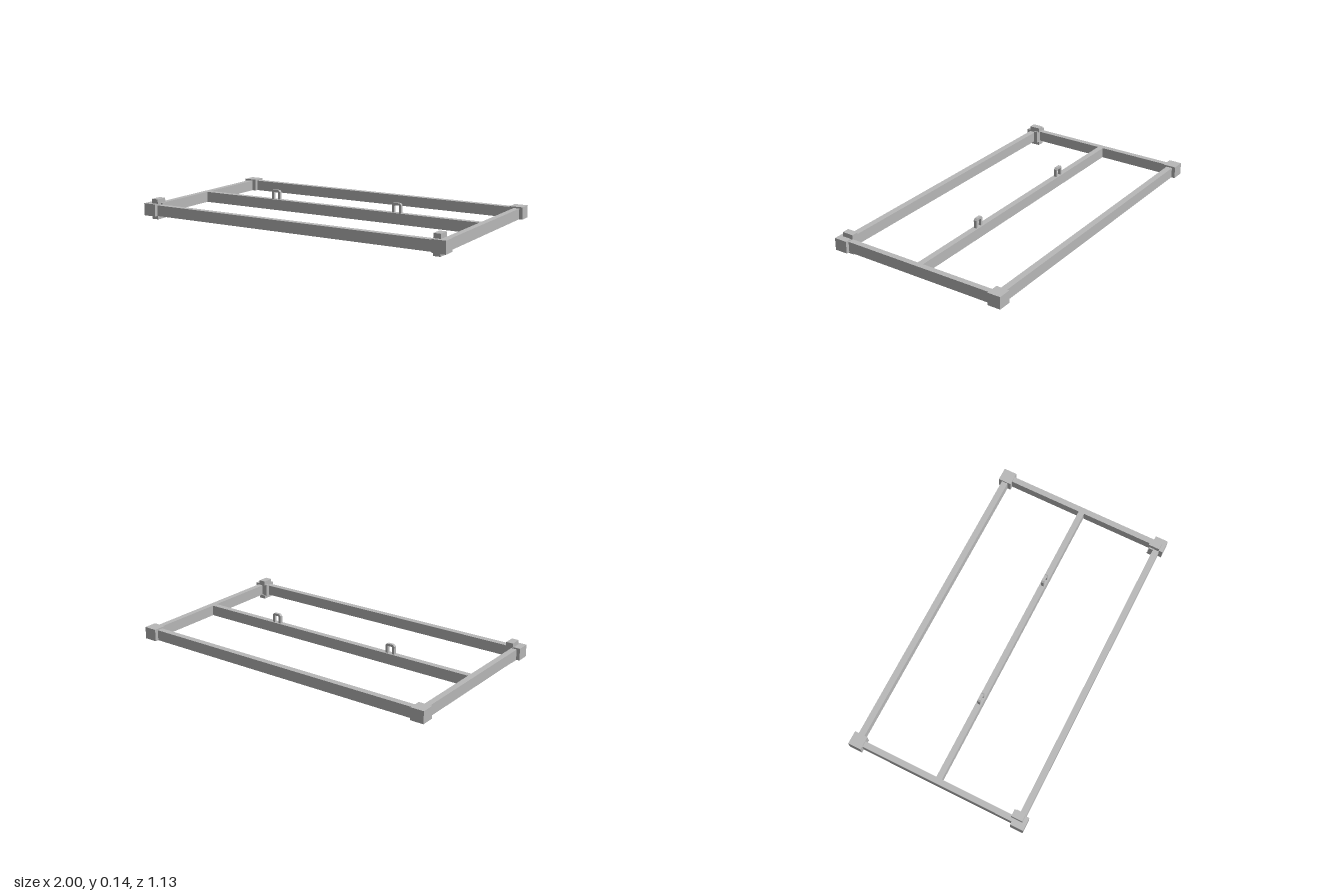
import * as THREE from 'three';

export function createModel() {
  const model = new THREE.Group();
  const steel = new THREE.MeshStandardMaterial({ color: 0xb8b8b8 });
  steel.name = 'grey steel';

  // Box given by its min and max corners
  function box(name, [x0, y0, z0], [x1, y1, z1], parent = model) {
    const geometry = new THREE.BoxGeometry(x1 - x0, y1 - y0, z1 - z0);
    const mesh = new THREE.Mesh(geometry, steel);
    mesh.position.set((x0 + x1) / 2, (y0 + y1) / 2, (z0 + z1) / 2);
    mesh.name = name;
    parent.add(mesh);
  }

  // Long rails and centre beam
  const low = 0.021, high = 0.086;
  box('frontRail', [-0.95, low, 0.503], [0.95, high, 0.541]);
  box('backRail', [-0.95, low, -0.541], [0.95, high, -0.503]);
  box('centreBeam', [-0.945, low, -0.018], [0.945, high, 0.018]);

  // Lifting loop: chamfered arch with an open middle
  const arch = new THREE.Shape();
  [[-0.03, 0], [-0.03, 0.047], [-0.02, 0.058], [0.02, 0.058], [0.03, 0.047], [0.03, 0],
    [0.015, 0], [0.015, 0.044], [-0.015, 0.044], [-0.015, 0]]
    .forEach(([x, y], i) => (i ? arch.lineTo(x, y) : arch.moveTo(x, y)));
  arch.closePath();
  const loopGeometry = new THREE.ExtrudeGeometry(arch, { depth: 0.018, bevelEnabled: false });
  loopGeometry.translate(0, high, -0.009);

  for (const side of [-1, 1]) {
    const label = side > 0 ? 'left' : 'right';
    const span = (a, b) => [Math.min(side * a, side * b), Math.max(side * a, side * b)];

    // Side rail
    const [r0, r1] = span(0.943, 0.979);
    box(label + 'SideRail', [r0, low, -0.52], [r1, high, 0.52]);

    // Corner blocks
    const [c0, c1] = span(0.918, 1);
    box(label + 'FrontCorner', [c0, low, 0.482], [c1, 0.095, 0.563]);
    box(label + 'BackCorner', [c0, low, -0.563], [c1, 0.095, -0.482]);

    // Clamp on the front corner: cap, foot and inner post
    const clamp = new THREE.Group();
    clamp.name = label + 'Clamp';
    const [l0, l1] = span(0.915, 0.959);
    const [p0, p1] = span(0.906, 0.945);
    box('clampCap', [l0, 0.094, 0.469], [l1, 0.122, 0.539], clamp);
    box('clampFoot', [l0, 0, 0.469], [l1, 0.022, 0.539], clamp);
    box('clampPost', [p0, 0.018, 0.477], [p1, 0.096, 0.505], clamp);
    model.add(clamp);

    const loop = new THREE.Mesh(loopGeometry, steel);
    loop.name = label + 'LiftingLoop';
    loop.position.x = side * 0.42;
    model.add(loop);
  }
  return model;
}
